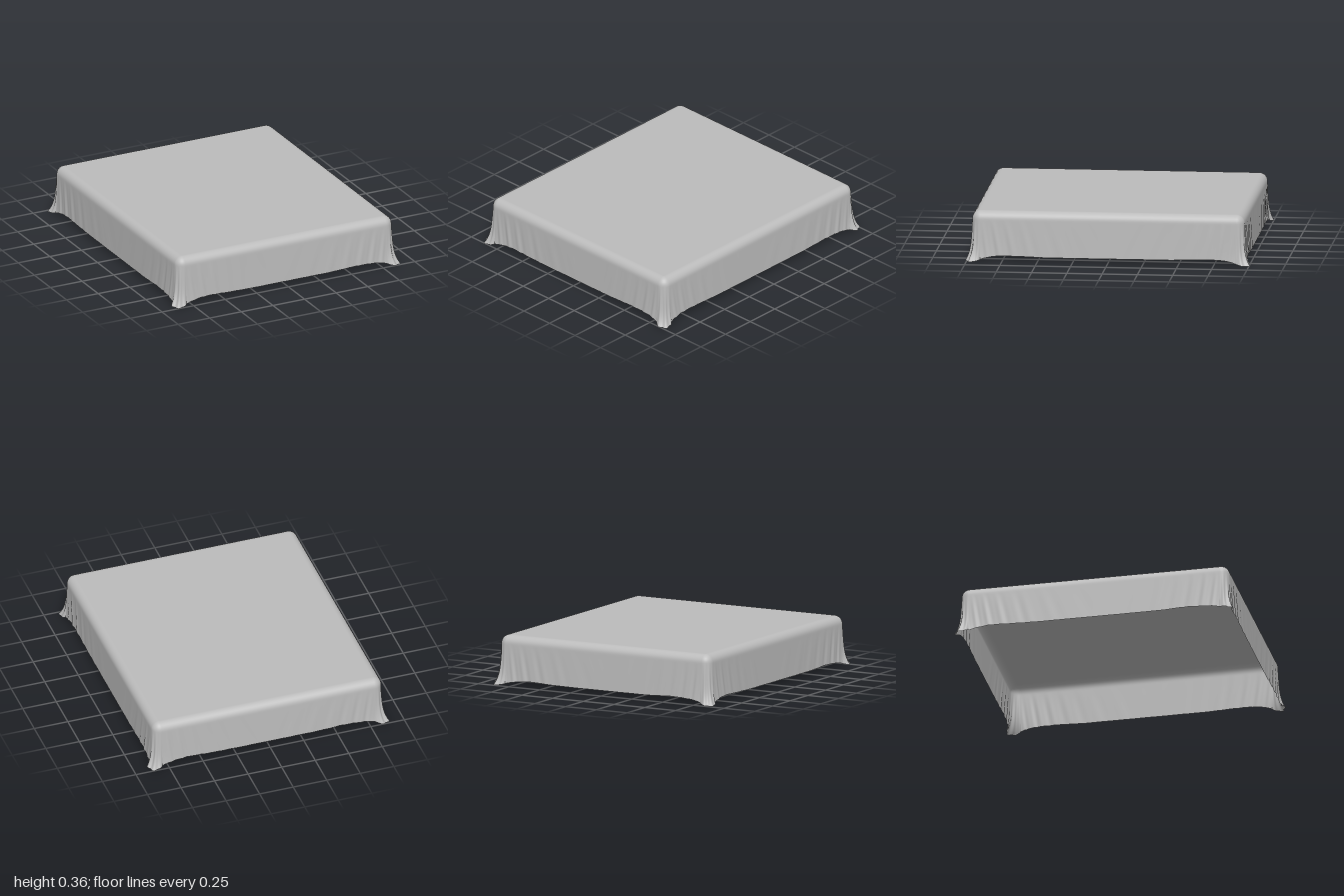
import * as THREE from 'three';

const HALF_X = 0.795, HALF_Z = 0.905;   // flat top, before the rounded edge
const TOP = 0.36, RADIUS = 0.06;        // cloth height and edge rounding
const SIDE_STEPS = 150, ARC_STEPS = 28, EDGE_ROWS = 8, DROP_ROWS = 22;

// Walk round the top: each stop has a core point, an outward angle,
// a distance to the nearest corner and a position along the hem.
function perimeter() {
  const corners = [[1, -1], [1, 1], [-1, 1], [-1, -1]];
  const stops = [];
  let run = 0;
  corners.forEach(([sx, sz], k) => {
    const [ex, ez] = corners[(k + 1) % 4];
    const length = 2 * (k % 2 ? HALF_X : HALF_Z);
    for (let i = 0; i < SIDE_STEPS; i++) {
      // samples crowd towards the corners, where the folds are
      const u = (1 - Math.cos((Math.PI * i) / SIDE_STEPS)) / 2;
      stops.push({
        x: HALF_X * (sx + (ex - sx) * u), z: HALF_Z * (sz + (ez - sz) * u),
        angle: k * Math.PI / 2, corner: Math.min(u, 1 - u) * length,
        lean: u < 0.5 ? 1 : -1, arc: 0, run: run + u * length,
      });
    }
    run += length;
    for (let i = 0; i < ARC_STEPS; i++) {
      const u = i / ARC_STEPS;
      stops.push({
        x: HALF_X * ex, z: HALF_Z * ez, angle: (k + u) * Math.PI / 2,
        corner: 0, lean: 0, arc: Math.sin(Math.PI * u), run: run + u * 0.1, u,
      });
    }
    run += 0.1;
  });
  return stops;
}

// Cloth point at a stop; row 0 is the flat top's rim, the last row is the hem.
function clothPoint(s, row) {
  if (row <= EDGE_ROWS) {
    const a = (row / EDGE_ROWS) * Math.PI / 2;
    const o = RADIUS * Math.sin(a);
    return [s.x + o * Math.cos(s.angle), TOP - RADIUS * (1 - Math.cos(a)), s.z + o * Math.sin(s.angle)];
  }
  const t = (row - EDGE_ROWS) / DROP_ROWS;
  const near = Math.exp(-s.corner / 0.3);
  const tight = Math.exp(-s.corner / 0.06);
  // slanted folds that fan out from the corners
  const phase = s.corner * 95 / (1 + s.corner) - t * 3.2;
  const wave = Math.sin(phase + Math.sin(s.run * 7)) + 0.5 * Math.sin(phase * 1.9 + s.run * 3);
  let out = RADIUS + 0.008 * t + 0.0045 * near * wave * Math.sin(t * Math.PI * 0.6) * (1 - tight);
  // bunched, flared corners
  out += s.arc * (0.008 * t + 0.036 * t ** 5);
  if (s.arc) out += 0.008 * t * Math.sin(s.u * Math.PI * 6) * s.arc;
  out += 0.008 * tight * t ** 5;
  // hem rises a little before each corner, then dips to a point
  const hem = 0.036 + 0.009 * Math.exp(-(((s.corner - 0.2) / 0.16) ** 2))
    - 0.02 * tight - 0.014 * s.arc + 0.002 * Math.sin(s.run * 23) * near;
  const y = TOP - RADIUS + (hem - TOP + RADIUS) * t;
  return [s.x + out * Math.cos(s.angle), y, s.z + out * Math.sin(s.angle)];
}

function clothGeometry() {
  const stops = perimeter(), n = stops.length, rows = EDGE_ROWS + DROP_ROWS;
  const positions = [0, TOP, 0], index = [];
  for (let r = 0; r <= rows; r++) stops.forEach((s) => positions.push(...clothPoint(s, r)));
  for (let i = 0; i < n; i++) {
    const next = (i + 1) % n;
    index.push(0, 1 + next, 1 + i);               // flat top
    for (let r = 0; r < rows; r++) {              // rounded edge and drop
      const a = 1 + r * n + i, b = 1 + r * n + next;
      index.push(a, b, a + n, b, b + n, a + n);
    }
  }
  const geometry = new THREE.BufferGeometry();
  geometry.setAttribute('position', new THREE.Float32BufferAttribute(positions, 3));
  geometry.setIndex(index);
  geometry.computeVertexNormals();
  return geometry;
}

export function createModel() {
  const group = new THREE.Group();
  group.name = 'drapedCover';
  const fabric = new THREE.MeshStandardMaterial({ color: 0xbcbcbc, side: THREE.DoubleSide });
  fabric.name = 'grey fabric';
  const cloth = new THREE.Mesh(clothGeometry(), fabric);
  cloth.name = 'cloth';
  group.add(cloth);
  // stand the lowest corner on the ground
  cloth.geometry.computeBoundingBox();
  cloth.position.y = -cloth.geometry.boundingBox.min.y;
  return group;
}
